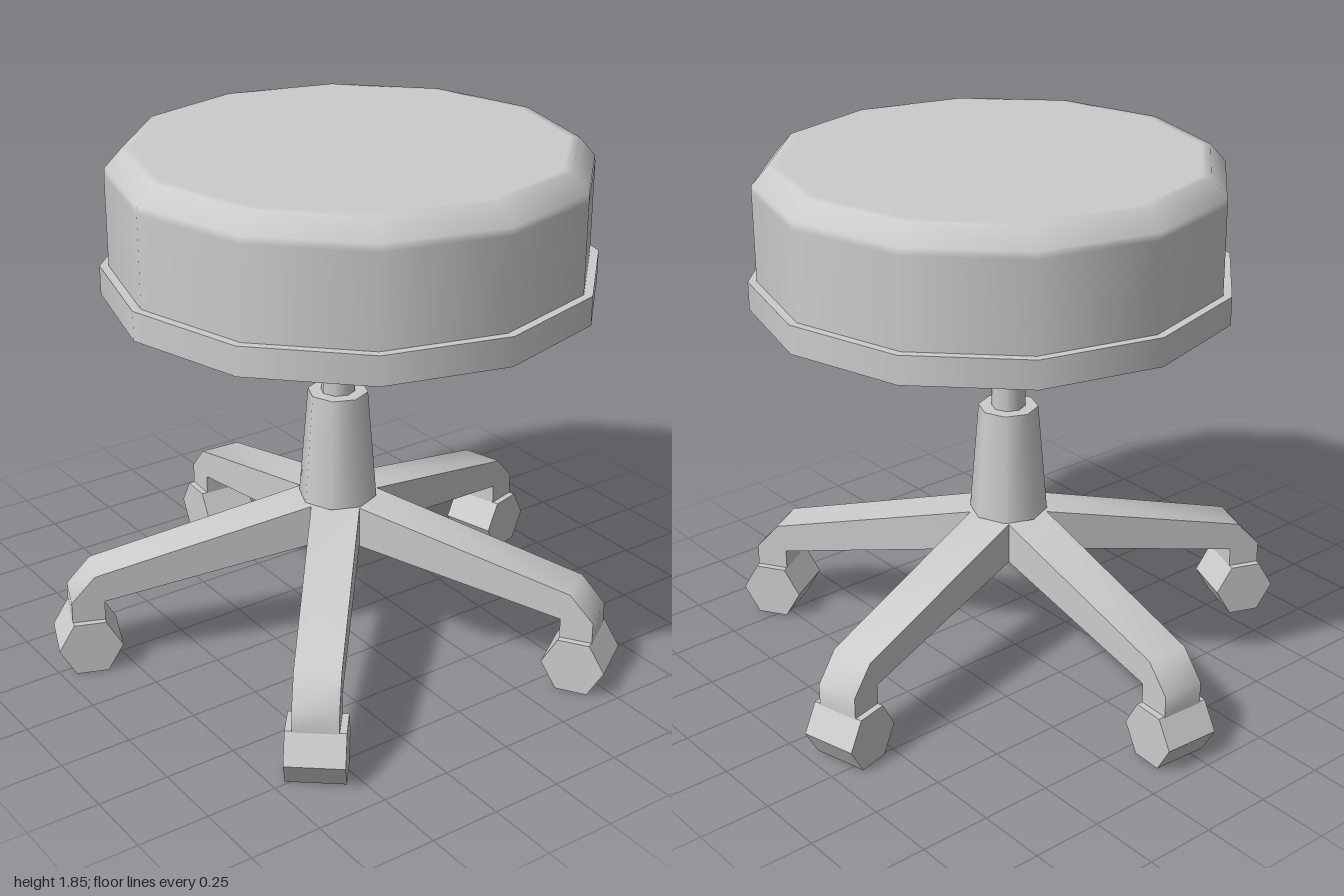
import * as THREE from 'three';
import { toCreasedNormals } from 'three/addons/utils/BufferGeometryUtils.js';

const grey = new THREE.MeshStandardMaterial({ color: 0xcccccc });
const greyFlat = new THREE.MeshStandardMaterial({ color: 0xcccccc, flatShading: true });

function part(name, geometry, parent, x = 0, y = 0, z = 0, material = grey) {
  const mesh = new THREE.Mesh(geometry, material);
  mesh.name = name;
  mesh.position.set(x, y, z);
  parent.add(mesh);
  return mesh;
}

// Side profile of one arm (radius, height), extruded and tapered outwards
function armGeometry() {
  const profile = [
    [0, 0.4], [0.115, 0.4], [0.855, 0.265], [0.855, 0.19], [0.97, 0.19],
    [0.97, 0.27], [0.885, 0.365], [0.115, 0.55], [0, 0.55],
  ];
  const shape = new THREE.Shape(profile.map(([u, y]) => new THREE.Vector2(u, y)));
  const geo = new THREE.ExtrudeGeometry(shape, { depth: 1, bevelEnabled: false });
  const pos = geo.attributes.position;
  for (let i = 0; i < pos.count; i++) {
    const t = Math.max(0, pos.getX(i) - 0.115);
    pos.setZ(i, (pos.getZ(i) - 0.5) * (0.17 - 0.02 * t));
  }
  return toCreasedNormals(geo, 0.8);
}

export function createModel() {
  const model = new THREE.Group();
  model.name = 'stool';

  // Twelve-sided seat: a flat rim below a padded cushion
  const seat = new THREE.Group();
  seat.name = 'seat';
  seat.position.set(0.115, 0, 0);
  model.add(seat);
  part('seatRim', new THREE.CylinderGeometry(0.838, 0.838, 0.1, 12), seat, 0, 1.4, 0);
  const cushion = [[0.808, 1.45], [0.808, 1.76], [0.806, 1.785], [0.75, 1.848], [0.72, 1.85], [0, 1.85]]
    .map(([r, y]) => new THREE.Vector2(r, y));
  part('cushion', new THREE.LatheGeometry(cushion, 12), seat);

  // Base with central column
  const base = new THREE.Group();
  base.name = 'base';
  base.position.set(0.054, 0, 0.013);
  model.add(base);
  part('liftRod', new THREE.CylinderGeometry(0.06, 0.06, 0.42, 8), base, 0, 1.15, 0);
  part('columnSleeve', new THREE.CylinderGeometry(0.106, 0.139, 0.4, 8), base, 0, 0.75, 0);

  // Five arms, each ending in a hexagonal caster wheel
  const armGeo = armGeometry();
  const wheelGeo = new THREE.CylinderGeometry(0.112, 0.112, 0.2, 6);
  wheelGeo.rotateY(Math.PI / 2).rotateX(Math.PI / 2);
  for (let i = 0; i < 5; i++) {
    const leg = new THREE.Group();
    leg.name = 'leg' + (i + 1);
    leg.rotation.y = -THREE.MathUtils.degToRad(183.4 + 72 * i);
    base.add(leg);
    part('arm', armGeo, leg);
    part('casterWheel', wheelGeo, leg, 0.912, 0.097, 0, greyFlat);
  }
  return model;
}
